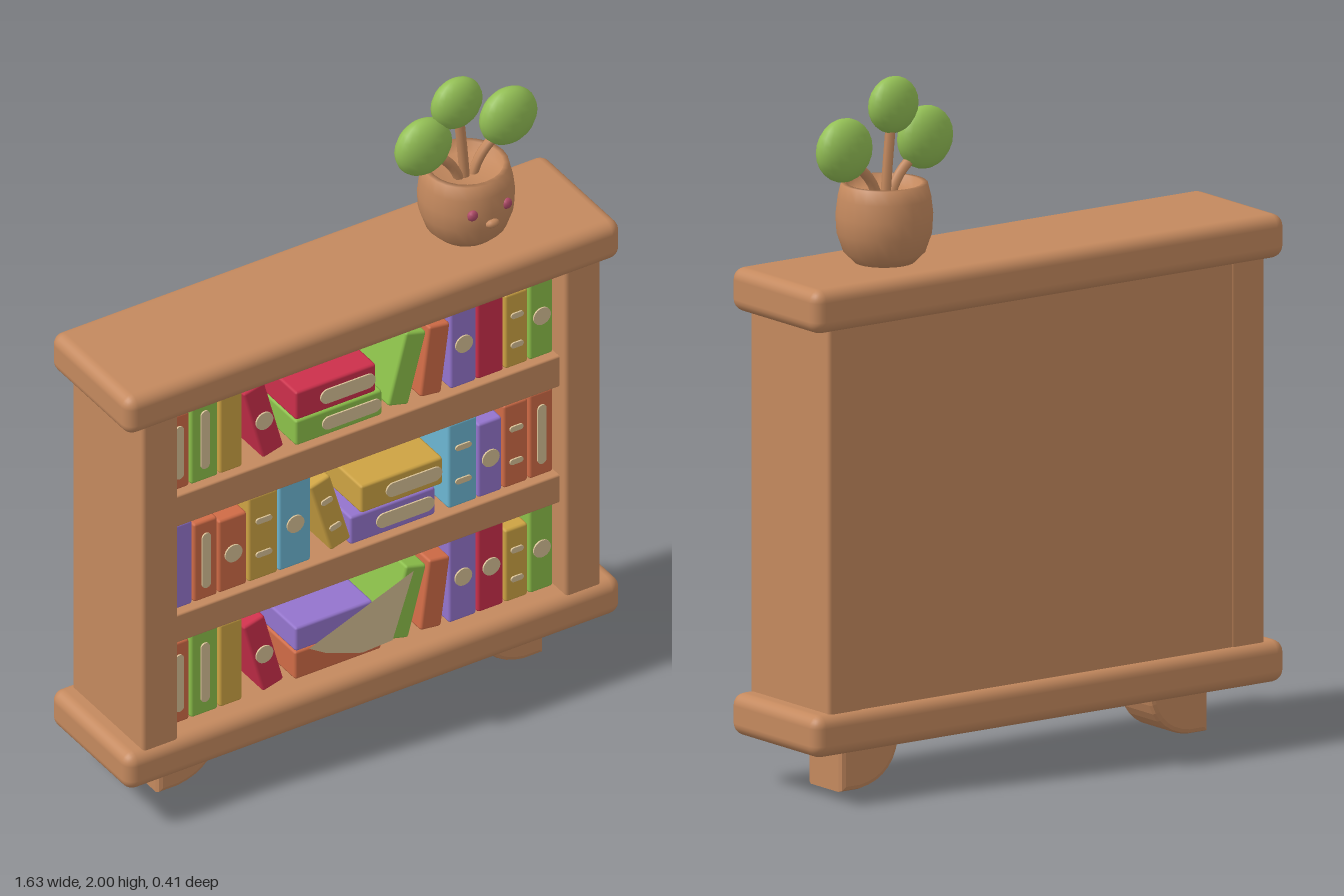
import * as THREE from 'three';
import { RoundedBoxGeometry } from 'three/addons/geometries/RoundedBoxGeometry.js';

const paint = (name, color) => {
  const m = new THREE.MeshStandardMaterial({ color });
  m.name = name;
  return m;
};

export function createModel() {
  const model = new THREE.Group();
  model.name = 'bookcase';
  const wood = paint('wood', 0xc4895e), red = paint('red', 0xcc2f4b), green = paint('green', 0x8cc04a);
  const yellow = paint('yellow', 0xcda343), purple = paint('purple', 0x9474cd), blue = paint('blue', 0x6cb6d2);
  const orange = paint('orange', 0xcf6b46), cream = paint('cream', 0xd6bf95);
  const leafGreen = paint('leaf green', 0x93bf55), pink = paint('pink', 0xb04a68);
  cream.side = THREE.DoubleSide;

  const add = (parent, name, geo, mat, x = 0, y = 0, z = 0) => {
    const mesh = new THREE.Mesh(geo, mat);
    mesh.name = name;
    mesh.position.set(x, y, z);
    parent.add(mesh);
    return mesh;
  };
  // Box given by its limits on each axis
  const block = (name, [x0, x1], [y0, y1], [z0, z1], r, mat = wood, seg = 3) =>
    add(model, name, new RoundedBoxGeometry(x1 - x0, y1 - y0, z1 - z0, seg, r), mat,
      (x0 + x1) / 2, (y0 + y1) / 2, (z0 + z1) / 2);

  // Carcass
  block('topBoard', [-0.815, 0.815], [1.35, 1.475], [-0.205, 0.205], 0.035);
  block('bottomBoard', [-0.815, 0.815], [0.14, 0.26], [-0.205, 0.205], 0.035);
  block('backPanel', [-0.7, 0.7], [0.24, 1.37], [-0.18, -0.14], 0.004);
  block('lowerShelf', [-0.65, 0.65], [0.555, 0.65], [-0.15, 0.155], 0.006);
  block('upperShelf', [-0.65, 0.65], [0.95, 1.055], [-0.15, 0.155], 0.006);
  for (const s of [-1, 1]) {
    const xs = s > 0 ? [0.637, 0.755] : [-0.755, -0.637];
    block(s > 0 ? 'leftSide' : 'rightSide', xs, [0.24, 1.37], [-0.182, 0.187], 0.012);
  }

  // Feet: upright outside edge, rounded inside edge
  for (const s of [-1, 1]) {
    const shape = new THREE.Shape();
    shape.moveTo(s * 0.62, 0.16);
    shape.lineTo(s * 0.62, 0.015);
    shape.lineTo(s * 0.57, 0.015);
    shape.quadraticCurveTo(s * 0.45, 0.03, s * 0.445, 0.16);
    shape.closePath();
    const geo = new THREE.ExtrudeGeometry(shape, {
      depth: 0.13, bevelSize: 0.015, bevelThickness: 0.015, bevelSegments: 2, curveSegments: 8 });
    add(model, s > 0 ? 'leftFoot' : 'rightFoot', geo, wood, 0, 0, -0.065);
  }

  // Books: each has a block and an optional mark on the front
  const front = 0.13, back = -0.14;
  const capsule = (w, h) => {
    const r = Math.min(w, h) / 2, a = w / 2 - r, b = h / 2 - r, s = new THREE.Shape();
    s.absarc(a, b, r, 0, Math.PI / 2);
    s.absarc(-a, b, r, Math.PI / 2, Math.PI);
    s.absarc(-a, -b, r, Math.PI, Math.PI * 1.5);
    s.absarc(a, -b, r, Math.PI * 1.5, Math.PI * 2);
    return new THREE.ExtrudeGeometry(s, { depth: 0.006, bevelEnabled: false, curveSegments: 6 });
  };
  const marks = {
    slot: (w, h) => [[0.028, h * 0.7, 0, 0]],
    dot: () => [[0.056, 0.056, 0, 0]],
    bars: (w, h) => [[w * 0.55, 0.018, 0, h * 0.2], [w * 0.55, 0.018, 0, -h * 0.2]],
    pages: (w, h) => [[w * 0.68, h * 0.5, w * 0.14, 0]],
  };
  const book = (mat, x, y, w, h, mark, tilt = 0) => {
    const g = new THREE.Group();
    g.name = 'book';
    g.position.set(x, y, 0);
    g.rotation.z = tilt;
    add(g, 'cover', new RoundedBoxGeometry(w, h, front - back, 1, 0.008), mat, 0, 0, (front + back) / 2);
    if (mark) for (const [mw, mh, mx, my] of marks[mark](w, h))
      add(g, mark, capsule(mw, mh), cream, mx, my, front - 0.001);
    model.add(g);
  };
  // Upright rows: material, left edge, right edge, height, mark
  const rows = [
    [0.26, [[orange, -0.635, -0.565, 0.275, 'slot'], [green, -0.56, -0.47, 0.285, 'slot'],
      [yellow, -0.465, -0.39, 0.28], [purple, 0.29, 0.38, 0.29, 'dot'], [red, 0.385, 0.47, 0.29, 'dot'],
      [yellow, 0.475, 0.55, 0.245, 'bars'], [green, 0.555, 0.633, 0.285, 'dot']]],
    [0.65, [[purple, -0.635, -0.555, 0.285], [orange, -0.55, -0.472, 0.265, 'slot'],
      [orange, -0.468, -0.375, 0.245, 'dot'], [yellow, -0.37, -0.273, 0.285, 'bars'],
      [blue, -0.27, -0.165, 0.29, 'dot'], [blue, 0.288, 0.383, 0.285, 'bars'],
      [purple, 0.386, 0.465, 0.25, 'dot'], [orange, 0.47, 0.55, 0.28, 'bars'],
      [orange, 0.555, 0.633, 0.285, 'slot']]],
    [1.055, [[orange, -0.635, -0.565, 0.255, 'slot'], [green, -0.56, -0.47, 0.28, 'slot'],
      [yellow, -0.465, -0.39, 0.28], [purple, 0.295, 0.38, 0.285, 'dot'], [red, 0.383, 0.47, 0.28],
      [yellow, 0.475, 0.55, 0.25, 'bars'], [green, 0.555, 0.633, 0.28, 'dot']]],
  ];
  for (const [base, list] of rows)
    for (const [mat, x0, x1, h, mark] of list) book(mat, (x0 + x1) / 2, base + h / 2, x1 - x0, h, mark);

  // Leaning books
  for (const base of [0.26, 1.055]) {
    book(red, -0.32, base + 0.13, 0.072, 0.25, 'dot', 0.26);
    book(green, 0.153, base + 0.125, 0.07, 0.235, null, -0.26);
    book(orange, 0.245, base + 0.12, 0.07, 0.23, null, -0.13);
  }
  book(yellow, -0.1, 0.785, 0.07, 0.25, 'bars', 0.28);

  // Stacked books
  book(green, -0.072, 1.098, 0.285, 0.085, 'pages');
  book(red, -0.082, 1.19, 0.265, 0.095, 'pages');
  book(purple, 0.105, 0.697, 0.28, 0.094, 'pages');
  book(yellow, 0.135, 0.79, 0.27, 0.092, 'pages');
  book(orange, -0.075, 0.307, 0.285, 0.094);
  book(purple, -0.088, 0.395, 0.255, 0.08);

  // Loose sheet leaning over the lowest stack
  const sheet = new THREE.Shape([[-0.175, 0.355], [-0.12, 0.32], [0, 0.275], [0.1, 0.28], [0.17, 0.49]]
    .map(([x, y]) => new THREE.Vector2(x, y)));
  add(model, 'looseSheet', new THREE.ShapeGeometry(sheet), cream, 0, 0, front + 0.006);

  // Plant pot with a face
  const plant = new THREE.Group();
  plant.name = 'pottedPlant';
  plant.position.set(0.428, 0, 0);
  model.add(plant);
  const profile = [[0, 1.472], [0.085, 1.475], [0.115, 1.505], [0.134, 1.56], [0.137, 1.61], [0.131, 1.66],
    [0.121, 1.7], [0.105, 1.7], [0.1, 1.665], [0, 1.66]].map(([x, y]) => new THREE.Vector2(x, y));
  add(plant, 'pot', new THREE.LatheGeometry(profile, 24), wood);
  for (const s of [-1, 1]) {
    const eye = add(plant, 'eye', new THREE.SphereGeometry(0.017, 10, 8), pink, s * 0.056, 1.615, 0.123);
    eye.scale.z = 0.7;
  }
  const mouth = add(plant, 'mouth', new THREE.SphereGeometry(0.022, 10, 8), wood, 0, 1.577, 0.138);
  mouth.scale.set(1, 0.6, 0.6);

  // Stems and leaves: leaf centre x, y, radius
  for (const [x, y, r] of [[-0.141, 1.81, 0.09], [-0.031, 1.917, 0.081], [0.139, 1.81, 0.091]]) {
    const curve = new THREE.QuadraticBezierCurve3(new THREE.Vector3(x * 0.15, 1.65, 0),
      new THREE.Vector3(x * 0.3, 1.73, 0), new THREE.Vector3(x * 0.8, y - r * 0.5, 0));
    add(plant, 'stem', new THREE.TubeGeometry(curve, 8, 0.015, 7), wood);
    const leaf = add(plant, 'leaf', new THREE.SphereGeometry(r, 18, 12), leafGreen, x, y, 0);
    leaf.scale.z = 0.56;
  }
  return model;
}
